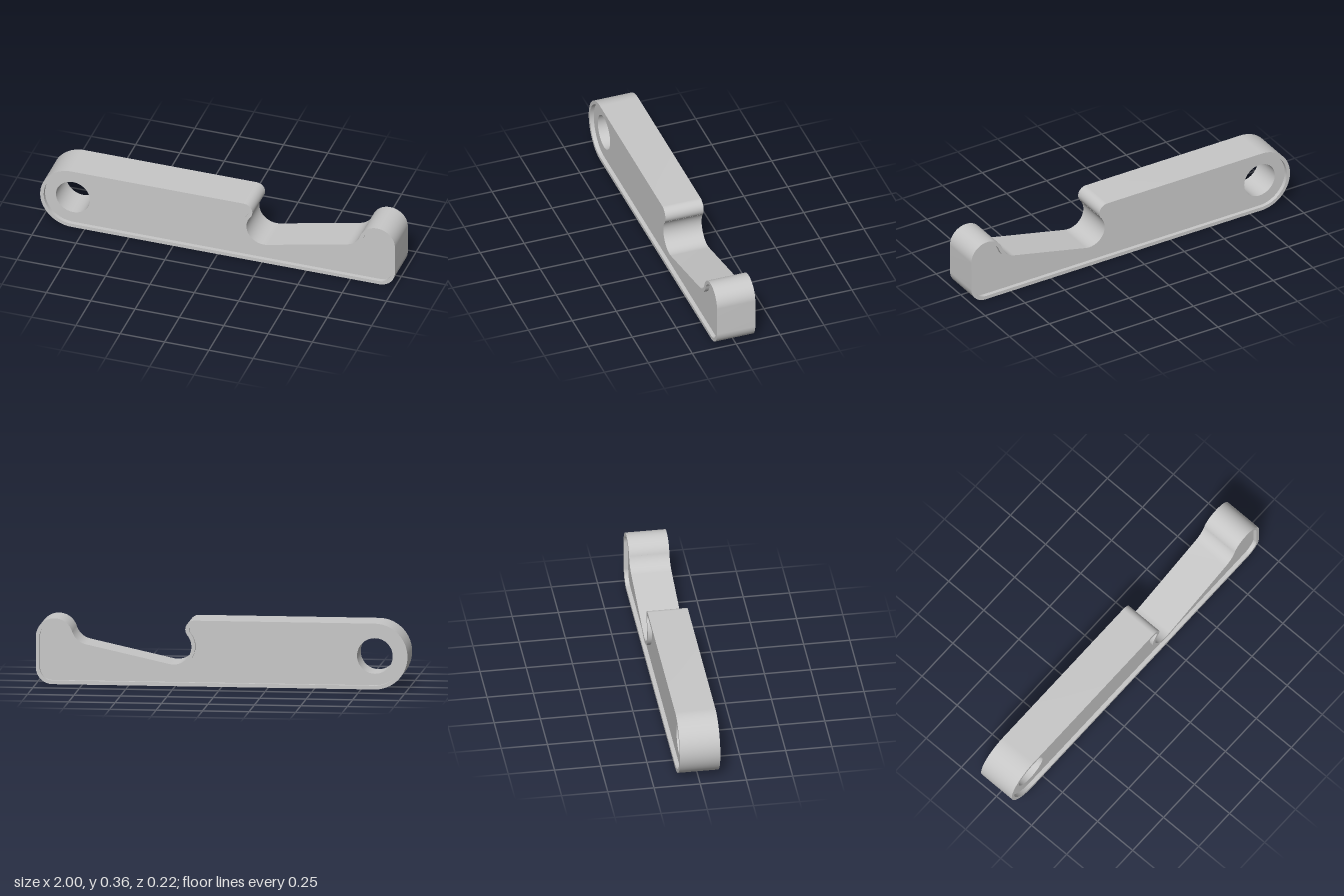
import * as THREE from 'three';
import { toCreasedNormals } from 'three/addons/utils/BufferGeometryUtils.js';

const HALF_DEPTH = 0.109;
const RIM = 0.02;      // rim width
const RECESS = 0.022;  // depth of the recess on both faces
const H = 0.356;       // height of the bar
const SEGMENTS = 32;

// Outline of the bar, moved inwards by d
function outline(d) {
  const P = Math.PI;
  const end = { x: -1 + H / 2, y: H / 2, r: H / 2 };
  const lip = { x: 0.147, y: 0.307, r: 0.049 };
  const cut = { x: 0.26, y: 0.214, r: 0.097 };
  const fillet = { x: 0.709, y: 0.316, r: 0.1 };
  const bump = { x: 0.9, y: 0.256, r: 0.1 };
  const corner = { x: 0.91, y: 0.09, r: 0.09 };
  const angle = (p, q) => Math.atan2(q.y - p.y, q.x - p.x);

  // Ramp tangent to the cut and the fillet
  const gap = Math.hypot(fillet.x - cut.x, fillet.y - cut.y);
  const slope = angle(cut, fillet) - Math.asin((fillet.r - cut.r) / gap);
  const a = angle(lip, cut);
  const b = angle(fillet, bump);

  const s = new THREE.Shape();
  const convex = (c, from, to) => s.absarc(c.x, c.y, c.r - d, from, to, true);
  const concave = (c, from, to) => s.absarc(c.x, c.y, c.r + d, from, to, false);
  convex(end, -P / 2, P / 2);
  convex(lip, P / 2, a);
  concave(cut, a + P, 1.5 * P + slope);
  concave(fillet, -P / 2 + slope, b);
  convex(bump, b + P, 0);
  convex(corner, 0, -P / 2);
  s.closePath();
  return s;
}

function slab(name, shape, halfDepth, material) {
  let geo = new THREE.ExtrudeGeometry(shape, {
    depth: halfDepth * 2, bevelEnabled: false, curveSegments: SEGMENTS,
  });
  geo.translate(0, 0, -halfDepth);
  // Crease at a larger scale, so that close vertices are kept apart
  geo.scale(100, 100, 100);
  geo = toCreasedNormals(geo, 0.6);
  geo.scale(0.01, 0.01, 0.01);
  const mesh = new THREE.Mesh(geo, material);
  mesh.name = name;
  return mesh;
}

export function createModel() {
  const grey = new THREE.MeshStandardMaterial({ color: 0xc8c8c8 });
  grey.name = 'grey';
  const group = new THREE.Group();
  group.name = 'hookedBar';

  // Raised rim following the whole outline; its opening runs the other way round
  const rim = outline(0);
  rim.holes.push(new THREE.Path(outline(RIM).getPoints(SEGMENTS).reverse()));
  group.add(slab('rim', rim, HALF_DEPTH, grey));

  // Recessed body with the round through hole, set into the rim
  const body = outline(RIM / 2);
  const hole = new THREE.Path();
  hole.absarc(-1 + H / 2, H / 2, 0.096, 0, Math.PI * 2, false);
  body.holes.push(hole);
  group.add(slab('body', body, HALF_DEPTH - RECESS, grey));

  return group;
}
